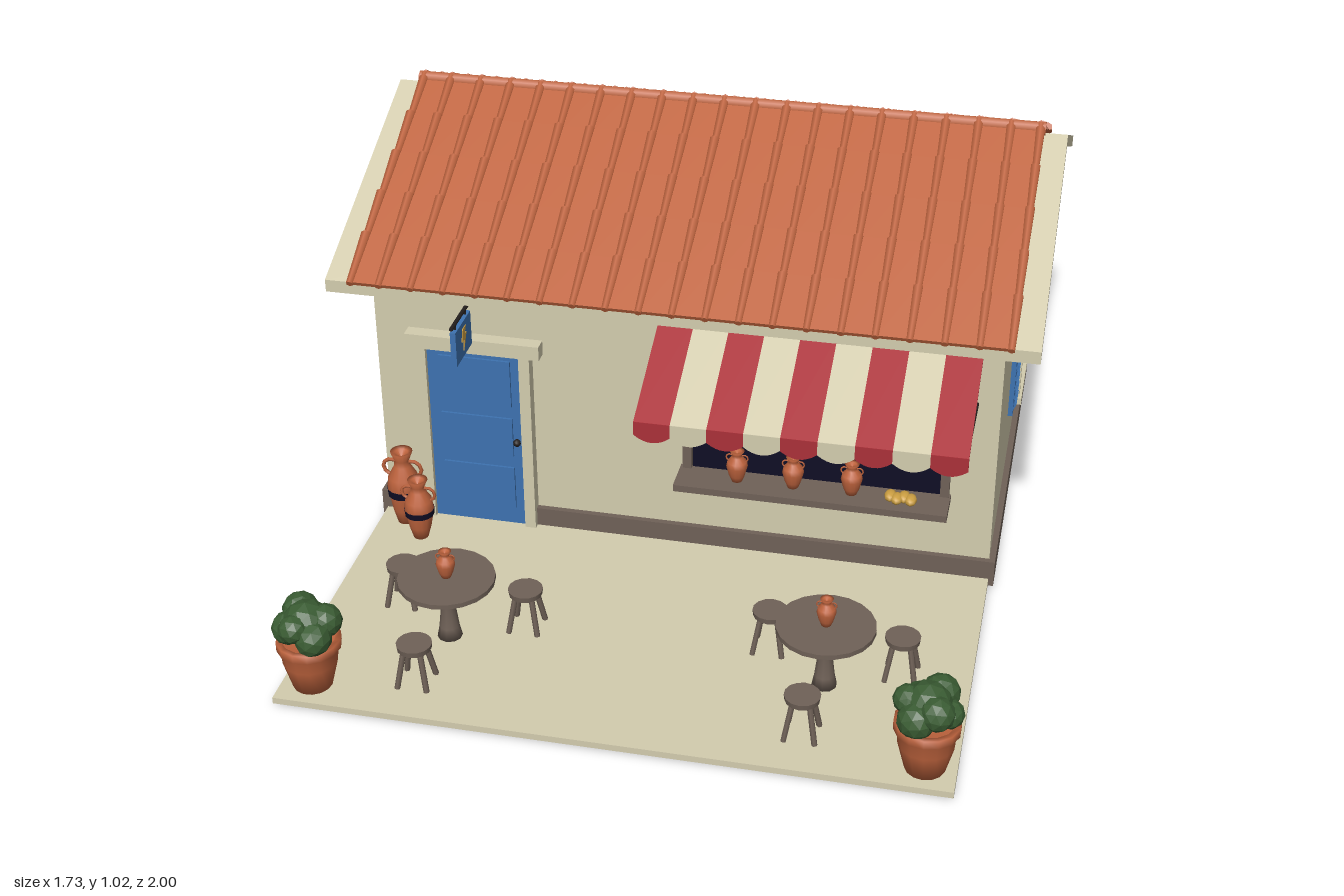
import * as THREE from 'three';
import { mergeGeometries } from 'three/addons/utils/BufferGeometryUtils.js';

const paint = (name, color) => Object.assign(new THREE.MeshStandardMaterial({ color }), { name });
const M = {
  cream: paint('cream plaster', 0xd3ccae), terracotta: paint('terracotta', 0xbe633d),
  blue: paint('blue paint', 0x3d72b0), red: paint('red cloth', 0xaa3038),
  navy: paint('dark glass', 0x0e0d24), brown: paint('brown wood and stone', 0x6f6157),
  green: paint('leaf green', 0x3a5c33), gold: paint('gold', 0xcc9f42), dark: paint('dark iron', 0x25201f),
};

function add(parent, name, geometry, material, x = 0, y = 0, z = 0) {
  const mesh = new THREE.Mesh(geometry, material);
  mesh.name = name;
  mesh.position.set(x, y, z);
  parent.add(mesh);
  return mesh;
}
function group(parent, name, x = 0, y = 0, z = 0, turn = 0) {
  const g = new THREE.Group();
  g.name = name;
  g.position.set(x, y, z);
  g.rotation.y = turn;
  parent.add(g);
  return g;
}
// Box given by its limits on each axis
const box = (parent, name, mat, [x0, x1], [y0, y1], [z0, z1]) => add(parent, name,
  new THREE.BoxGeometry(x1 - x0, y1 - y0, z1 - z0), mat, (x0 + x1) / 2, (y0 + y1) / 2, (z0 + z1) / 2);
const polygon = (pts) => new THREE.Shape(pts.map(([x, y]) => new THREE.Vector2(x, y)));
const extrude = (shape, depth) => new THREE.ExtrudeGeometry(shape, { depth, bevelEnabled: false, curveSegments: 8 });
const lathe = (pts, seg = 14) => new THREE.LatheGeometry(pts.map(([r, y]) => new THREE.Vector2(r, y)), seg);
// Round bar between two points
function rod(parent, name, mat, a, b, r) {
  const p = new THREE.Vector3(...a), q = new THREE.Vector3(...b), d = q.clone().sub(p);
  const m = add(parent, name, new THREE.CylinderGeometry(r, r, d.length(), 6), mat);
  m.position.copy(p).add(q).multiplyScalar(0.5);
  m.quaternion.setFromUnitVectors(new THREE.Vector3(0, 1, 0), d.normalize());
}

const RIDGE_Z = -0.365, SIDE = Math.PI / 2;
const BOLT = [[-0.021, 0.075], [-0.043, -0.005], [0, -0.005], [-0.016, -0.075], [0.048, 0.028], [0.011, 0.028], [0.043, 0.075]];
const boltPlate = (scale) => extrude(polygon(BOLT.map(([x, y]) => [x * scale, y * scale])), 0.008);

function buildHouse(root) {
  const house = group(root, 'house');
  // Profile runs along -z and is extruded across the width
  const walls = polygon([[-0.165, 0.01], [0.9, 0.01], [0.9, 0.72], [0.365, 0.96], [-0.165, 0.72]]);
  add(house, 'walls', extrude(walls, 1.56), M.cream, -0.78).rotation.y = SIDE;
  box(house, 'plinth', M.brown, [-0.795, 0.795], [0, 0.07], [-0.91, 0.18]);
  box(house, 'cornice', M.cream, [-0.797, 0.797], [0.69, 0.712], [-0.915, 0.18]);
  for (const s of [1, -1]) {
    const gable = group(house, 'gable', s * 0.78, 0, RIDGE_Z, s * SIDE);
    const trim = polygon([[-0.535, 0.712], [0.535, 0.712], [0, 0.955]]);
    trim.holes.push(polygon([[-0.44, 0.725], [0, 0.925], [0.44, 0.725]]));
    add(gable, 'gableTrim', extrude(trim, 0.016), M.cream);
    add(gable, 'gableBolt', boltPlate(1), M.gold, 0, 0.825, 0.002);
  }
}

function buildRoof(root) {
  const roof = group(root, 'roof');
  const slab = polygon([[-0.26, 0.688], [0.365, 0.96], [0.99, 0.688], [0.99, 0.72], [0.365, 0.992], [-0.26, 0.72]]);
  add(roof, 'roofSlab', extrude(slab, 1.73), M.cream, -0.865).rotation.y = SIDE;
  // Overlapping pan tiles with a narrow cover rib on each joint
  const cols = 20, rows = 5, pitch = 1.61 / cols, len = 0.6825 / rows, parts = [];
  for (let r = 0; r < rows; r++) for (let c = 0; c <= cols; c++) {
    const x = -0.805 + c * pitch, z = (r + 0.5) * len;
    if (c < cols) parts.push(new THREE.BoxGeometry(pitch - 0.008, 0.011, len + 0.012)
      .rotateX(0.06).translate(x + pitch / 2, 0.009, z));
    const rib = new THREE.CylinderGeometry(0.009, 0.013, len + 0.018, 6).rotateX(SIDE).rotateX(0.06);
    parts.push(rib.translate(THREE.MathUtils.clamp(x, -0.797, 0.797), 0.013, z + 0.002));
  }
  const tiles = mergeGeometries(parts);
  for (const turn of [0, Math.PI]) {
    const slope = group(roof, 'roofSlope', 0, 0.992, RIDGE_Z, turn);
    add(slope, 'roofTiles', tiles, M.terracotta).rotation.x = Math.atan(0.272 / 0.625);
  }
  const ridge = new THREE.CylinderGeometry(0.018, 0.018, 1.62, 8).rotateZ(SIDE);
  add(roof, 'ridgeTile', ridge, M.terracotta, 0, 1.003, RIDGE_Z);
}

// Shuttered window facing +z
function buildWindow(root, x, z, turn) {
  const w = group(root, 'shutteredWindow', x, 0, z, turn);
  box(w, 'glass', M.navy, [-0.08, 0.08], [0.29, 0.515], [0, 0.006]);
  box(w, 'lintel', M.cream, [-0.112, 0.112], [0.508, 0.535], [0, 0.03]);
  box(w, 'sill', M.cream, [-0.112, 0.112], [0.273, 0.291], [0, 0.03]);
  box(w, 'mullion', M.blue, [-0.005, 0.005], [0.29, 0.51], [0, 0.012]);
  box(w, 'transom', M.blue, [-0.08, 0.08], [0.415, 0.425], [0, 0.012]);
  for (const s of [-1, 1]) {
    add(w, 'jamb', new THREE.BoxGeometry(0.022, 0.22, 0.024), M.cream, s * 0.09, 0.4, 0.012);
    add(w, 'shutter', new THREE.BoxGeometry(0.092, 0.215, 0.012), M.blue, s * 0.149, 0.393, 0.008);
    for (let i = 0; i < 7; i++)
      add(w, 'louvre', new THREE.BoxGeometry(0.072, 0.018, 0.006), M.blue, s * 0.149, 0.309 + i * 0.028, 0.016).rotation.x = 0.35;
  }
}

function buildDoor(root) {
  const d = group(root, 'door');
  box(d, 'doorLeaf', M.blue, [-0.647, -0.403], [0.02, 0.522], [0.16, 0.184]);
  for (const y of [[0.37, 0.5], [0.225, 0.335], [0.07, 0.19]])
    box(d, 'doorPanel', M.blue, [-0.615, -0.43], y, [0.18, 0.19]);
  for (const x of [-0.659, -0.391]) box(d, 'doorPost', M.cream, [x - 0.014, x + 0.014], [0.02, 0.522], [0.16, 0.197]);
  box(d, 'doorLintel', M.cream, [-0.695, -0.35], [0.52, 0.558], [0.16, 0.202]);
  add(d, 'doorKnob', new THREE.SphereGeometry(0.01, 8, 6), M.dark, -0.418, 0.27, 0.194);
  // Hanging sign
  const sign = group(root, 'hangingSign', -0.525, 0, 0);
  rod(sign, 'signBracket', M.dark, [0, 0.66, 0.16], [0, 0.66, 0.335], 0.005);
  box(sign, 'signBoard', M.blue, [-0.007, 0.007], [0.553, 0.645], [0.205, 0.325]);
  for (const z of [0.225, 0.305]) rod(sign, 'signHook', M.dark, [0, 0.64, z], [0, 0.66, z], 0.003);
  for (const s of [1, -1]) add(sign, 'signBolt', boltPlate(0.4), M.gold, s * 0.001, 0.599, 0.265).rotation.y = s * SIDE;
}

function buildCounter(root) {
  const c = group(root, 'servingHatch');
  box(c, 'hatchOpening', M.navy, [0.03, 0.655], [0.24, 0.64], [0.16, 0.17]);
  for (const x of [0.018, 0.66]) box(c, 'hatchFrame', M.brown, [x - 0.011, x + 0.011], [0.24, 0.64], [0.16, 0.182]);
  box(c, 'counterShelf', M.brown, [0, 0.675], [0.228, 0.246], [0.16, 0.265]);
  for (const x of [0.15, 0.29, 0.435]) buildVase(c, x, 0.246, 0.21, 0.085, 0.027);
  for (let i = 0; i < 4; i++)
    add(c, 'breadLoaf', new THREE.SphereGeometry(0.014, 8, 6), M.gold, 0.532 + i * 0.017, 0.256, 0.215 + (i % 2) * 0.01).scale.set(1.1, 0.85, 1.7);
  // Striped awning with scalloped valance
  const awning = group(root, 'awning');
  const n = 9, w = 0.782 / n, run = 0.285, drop = 0.127;
  const scallop = polygon([[-w / 2, 0], [-w / 2, -0.035]]);
  scallop.quadraticCurveTo(0, -0.07, w / 2, -0.035);
  scallop.lineTo(w / 2, 0);
  const flap = extrude(scallop, 0.006), cloth = new THREE.BoxGeometry(w, 0.006, Math.hypot(run, drop));
  for (let i = 0; i < n; i++) {
    const x = -0.052 + (i + 0.5) * w, mat = i % 2 ? M.cream : M.red;
    add(awning, 'awningStripe', cloth, mat, x, 0.657 - drop / 2, 0.165 + run / 2).rotation.x = Math.atan2(drop, run);
    add(awning, 'awningValance', flap, mat, x, 0.533, 0.446);
  }
  for (const x of [-0.045, 0.723]) rod(awning, 'awningArm', M.dark, [x, 0.51, 0.16], [x, 0.524, 0.447], 0.004);
  rod(awning, 'awningBar', M.dark, [-0.05, 0.524, 0.445], [0.728, 0.524, 0.445], 0.004);
}

// Clay vase with two handles
function buildVase(root, x, y, z, h, r, band = false) {
  const v = group(root, 'vase', x, y, z);
  const profile = [[0, 0], [0.5, 0], [0.75, 0.2], [1, 0.5], [0.9, 0.65], [0.5, 0.8], [0.45, 0.88], [0.68, 1], [0.4, 0.98], [0, 0.9]];
  add(v, 'vaseBody', lathe(profile.map(([a, b]) => [a * r, b * h])), M.terracotta);
  for (const s of [-1, 1])
    add(v, 'vaseHandle', new THREE.TorusGeometry(h * 0.11, h * 0.025, 5, 10), M.terracotta, s * r * 0.66, h * 0.76, 0);
  if (band) add(v, 'vaseBand', new THREE.CylinderGeometry(r * 1.02, r * 0.98, h * 0.1, 14), M.navy, 0, h * 0.45, 0);
}

function buildTable(root, x, z) {
  const t = group(root, 'table', x, 0.02, z);
  add(t, 'tableTop', new THREE.CylinderGeometry(0.116, 0.116, 0.012, 20), M.brown, 0, 0.164, 0);
  add(t, 'tablePedestal', lathe([[0, 0], [0.03, 0], [0.024, 0.03], [0.018, 0.08], [0.024, 0.14], [0.03, 0.16]], 10), M.brown);
  buildVase(t, 0, 0.17, 0, 0.072, 0.023);
}
function buildStool(root, x, z) {
  const s = group(root, 'stool', x, 0.02, z);
  add(s, 'stoolSeat', new THREE.CylinderGeometry(0.042, 0.04, 0.014, 14), M.brown, 0, 0.103, 0);
  for (let i = 0; i < 4; i++) {
    const a = (i + 0.5) * SIDE, c = Math.cos(a), d = Math.sin(a);
    rod(s, 'stoolLeg', M.brown, [c * 0.05, 0, d * 0.05], [c * 0.027, 0.1, d * 0.027], 0.007);
  }
}

function buildPlanter(root, s) {
  const p = group(root, 'planter', s * 0.71, 0.02, 0.915, s > 0 ? 0 : 1.2);
  add(p, 'flowerPot', lathe([[0, 0], [0.046, 0], [0.064, 0.07], [0.067, 0.105], [0.075, 0.108], [0.075, 0.13], [0.062, 0.13], [0.058, 0.115], [0, 0.115]]), M.terracotta);
  const leaf = new THREE.IcosahedronGeometry(1, 1);
  leaf.computeVertexNormals();
  add(p, 'foliage', leaf, M.green, 0, 0.175, 0).scale.set(0.055, 0.052, 0.055);
  for (let i = 0; i < 6; i++) {
    const a = i * Math.PI / 3, r = 0.036 + (i % 3) * 0.004;
    const m = add(p, 'foliage', leaf, M.green, Math.cos(a) * 0.044, 0.155 + (i % 2) * 0.025, Math.sin(a) * 0.044);
    m.scale.set(r, r * 0.95, r);
    m.rotation.set(i, a, 0);
  }
}

export function createModel() {
  const model = new THREE.Group();
  model.name = 'tavern';
  buildHouse(model);
  buildRoof(model);
  buildDoor(model);
  buildCounter(model);
  buildWindow(model, 0.78, RIDGE_Z, SIDE);
  buildWindow(model, -0.78, RIDGE_Z, -SIDE);
  buildWindow(model, 0, -0.9, Math.PI);

  // Terrace and its furniture
  box(model, 'terrace', M.cream, [-0.782, 0.782], [0.004, 0.02], [0.175, 0.988]);
  for (const x of [-0.455, 0.448]) {
    buildTable(model, x, 0.675);
    for (const [dx, z] of [[-0.148, 0.565], [0.17, 0.603], [-0.022, 0.86]]) buildStool(model, x + dx, z);
  }
  for (const s of [-1, 1]) buildPlanter(model, s);
  buildVase(model, -0.655, 0.02, 0.29, 0.17, 0.038, true);
  buildVase(model, -0.715, 0.02, 0.23, 0.21, 0.042, true);
  return model;
}
